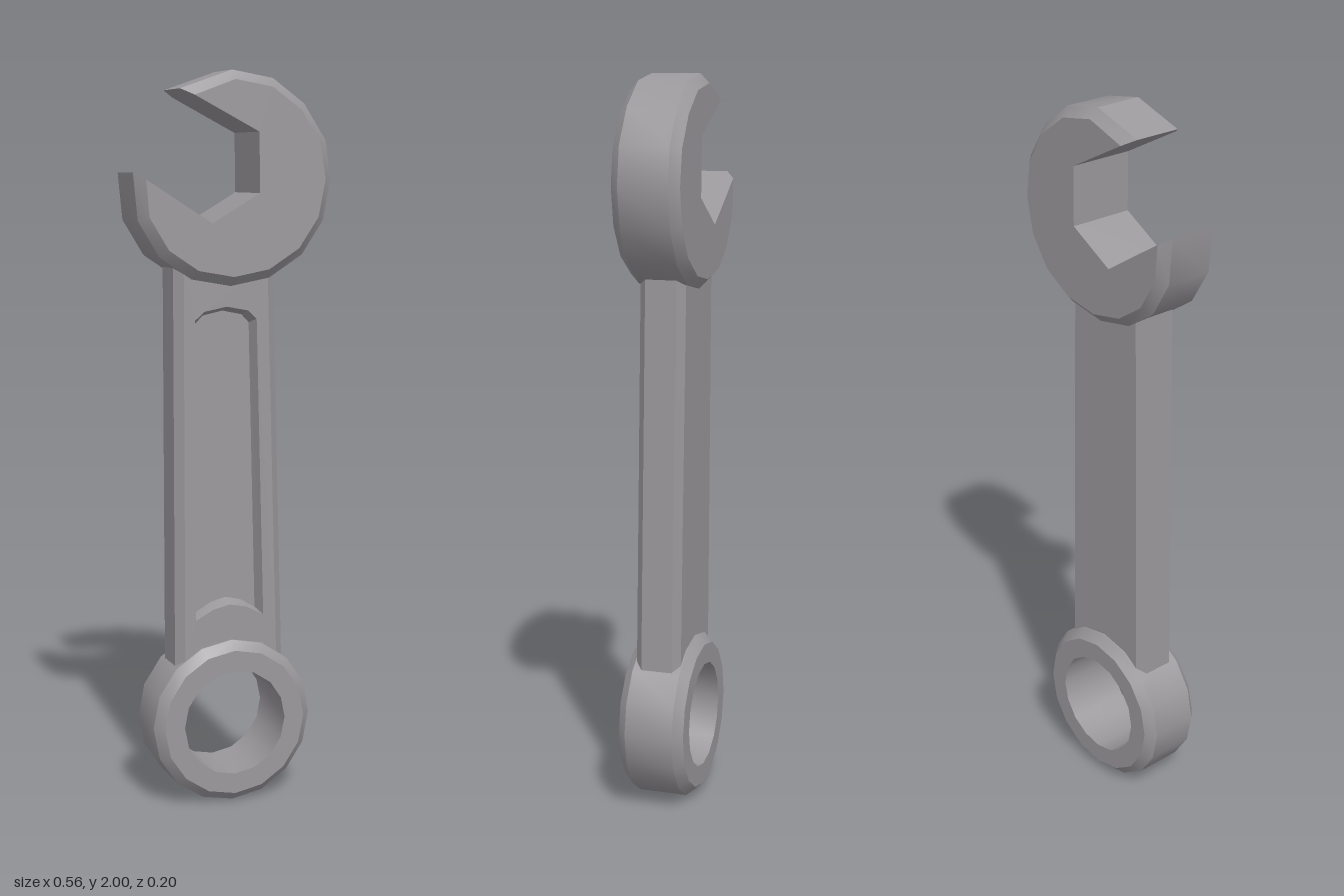
import * as THREE from 'three';
import { mergeGeometries, toCreasedNormals } from 'three/addons/utils/BufferGeometryUtils.js';

const steel = new THREE.MeshStandardMaterial({ color: 0x9b989c });
steel.name = 'steel';

// Strip of quads between two counter-clockwise outlines; swapping the two turns it inside out
function wall(a, za, b, zb) {
  const p = [];
  a.forEach((_, i) => {
    const j = (i + 1) % a.length;
    p.push(...a[i], za, ...a[j], za, ...b[j], zb, ...a[i], za, ...b[j], zb, ...b[i], zb);
  });
  const g = new THREE.BufferGeometry();
  g.setAttribute('position', new THREE.Float32BufferAttribute(p, 3));
  return g;
}

// Flat face at depth z, with an optional hole, facing front or back
function face(outline, z, hole = null, back = false) {
  const vecs = (pts) => pts.map(([x, y]) => new THREE.Vector2(x, y));
  const shape = new THREE.Shape(vecs(outline));
  if (hole) shape.holes.push(new THREE.Path(vecs(hole)));
  const g = new THREE.ShapeGeometry(shape);
  if (back) g.setIndex([...g.index.array].reverse());
  g.deleteAttribute('uv');
  g.deleteAttribute('normal');
  return g.toNonIndexed().translate(0, 0, z);
}

// Side walls with a chamfer front and back: full outline in the middle, small one on the faces
function chamferedSides(full, small, half, chamfer) {
  const inner = half - chamfer;
  return [
    wall(small, -half, full, -inner),
    wall(full, -inner, full, inner),
    wall(full, inner, small, half),
  ];
}

function part(name, pieces) {
  const mesh = new THREE.Mesh(toCreasedNormals(mergeGeometries(pieces), 0.5), steel);
  mesh.name = name;
  return mesh;
}

const circle = (cx, cy, r, n = 16) => Array.from({ length: n }, (_, i) => {
  const t = (i / n) * Math.PI * 2;
  return [cx + r * Math.cos(t), cy + r * Math.sin(t)];
});

export function createModel() {
  const model = new THREE.Group();
  model.name = 'wrench';
  const half = 0.092, chamfer = 0.025;

  // Closed ring at the bottom
  const ring = circle(-0.008, 0.234, 0.229);
  const ringFace = circle(-0.008, 0.234, 0.204);
  const bore = circle(-0.008, 0.234, 0.147);
  model.add(part('ringEnd', [
    ...chamferedSides(ring, ringFace, half, chamfer),
    wall(bore, half, bore, -half),
    face(ringFace, half, bore),
    face(ringFace, -half, bore, true),
  ]));

  // Open jaw at the top: rounded outside from the lower tip to the upper tip, then the mouth
  const outside = [
    [-0.28, 1.735], [-0.268, 1.61], [-0.21, 1.515], [-0.12, 1.455], [-0.01, 1.435], [0.1, 1.455],
    [0.195, 1.515], [0.256, 1.605], [0.278, 1.715], [0.262, 1.82], [0.2, 1.915], [0.11, 1.98],
    [-0.005, 2], [-0.15, 1.95],
  ];
  const mouth = [[0.062, 1.84], [0.064, 1.68], [-0.07, 1.602]];
  const outsideFace = outside.map(([x, y]) => [x * 0.91, 1.717 + (y - 1.717) * 0.91]);
  outsideFace[0] = [-0.252, 1.717]; // the tips slide along the mouth edges
  outsideFace[13] = [-0.118, 1.933];
  const jaw = [...outside, ...mouth], jawFace = [...outsideFace, ...mouth];
  model.add(part('openJaw', [
    ...chamferedSides(jaw, jawFace, half, chamfer),
    face(jawFace, half),
    face(jawFace, -half, null, true),
  ]));

  // Tapered handle with chamfered long edges and a recess in the front
  const hz = 0.063, depth = 0.035;
  const handle = [[-0.166, 0.397], [0.148, 0.397], [0.12, 1.5], [-0.164, 1.5]];
  const handleFace = handle.map(([x, y]) => [x - Math.sign(x) * 0.023, y]);
  const recess = [
    [-0.112, 0.525], [-0.06, 0.552], [-0.012, 0.562], [0.036, 0.552], [0.086, 0.525],
    [0.066, 1.345], [0.042, 1.368], [-0.02, 1.38], [-0.084, 1.368], [-0.11, 1.345],
  ];
  const floor = recess.map(([x, y]) => [
    -0.015 + (x + 0.015) * 0.88, 0.95 + (y - 0.95) * (y < 1 ? 0.965 : 0.97),
  ]);
  model.add(part('handle', [
    ...chamferedSides(handle, handleFace, hz, 0.02),
    face(handleFace, hz, recess),
    face(handleFace, -hz, null, true),
    wall(recess, hz, floor, hz - depth),
    face(floor, hz - depth),
  ]));

  // Very slight lean and twist
  model.rotation.set(-0.0055, -0.02, 0);
  model.position.z = 0.004;
  const root = new THREE.Group();
  root.name = 'wrenchRoot';
  root.add(model);
  return root;
}
